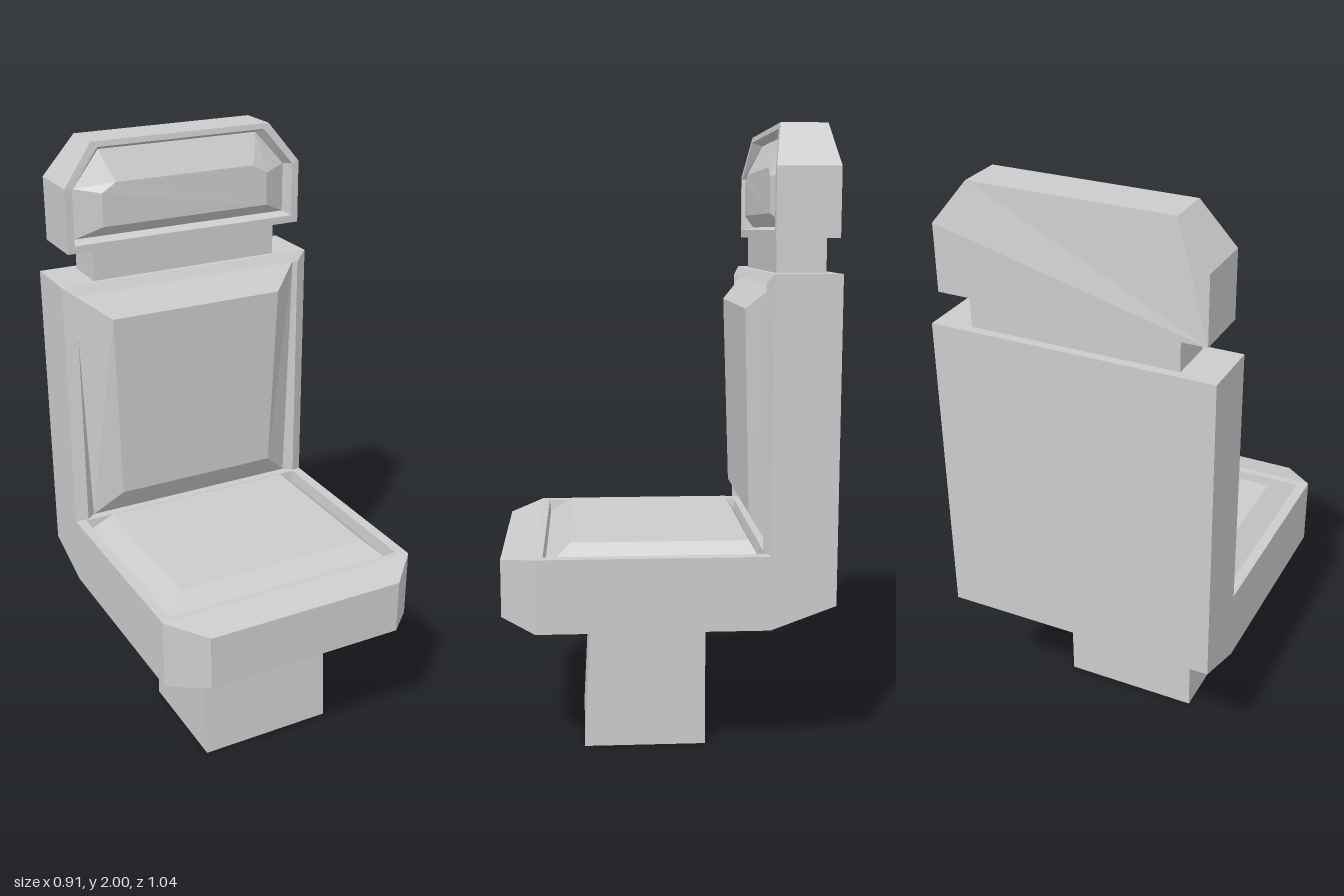
import * as THREE from 'three';

const material = new THREE.MeshStandardMaterial({ color: 0xcccccc, flatShading: true, side: THREE.DoubleSide });

// Joins equal-length rings of points; `open(segment, side)` leaves a face out.
// The first ring runs counter-clockwise seen from outside its cap.
function loft(name, rings, { start = true, end = true, open = () => false } = {}) {
  const out = [];
  const tri = (a, b, c) => {
    const u = new THREE.Vector3(...b).sub(new THREE.Vector3(...a));
    const v = new THREE.Vector3(...c).sub(new THREE.Vector3(...a));
    if (u.cross(v).length() > 1e-7) out.push(...a, ...b, ...c);
  };
  const cap = (ring) => {
    for (let i = 1; i < ring.length - 1; i++) tri(ring[0], ring[i], ring[i + 1]);
  };
  if (start) cap(rings[0]);
  for (let k = 0; k < rings.length - 1; k++) {
    const a = rings[k], b = rings[k + 1], n = a.length;
    for (let i = 0; i < n; i++) {
      if (open(k, i)) continue;
      const j = (i + 1) % n;
      tri(a[i], b[i], b[j]);
      tri(a[i], b[j], a[j]);
    }
  }
  if (end) cap([...rings[rings.length - 1]].reverse());
  const geometry = new THREE.BufferGeometry();
  geometry.setAttribute('position', new THREE.Float32BufferAttribute(out, 3));
  geometry.computeVertexNormals();
  const mesh = new THREE.Mesh(geometry, material);
  mesh.name = name;
  return mesh;
}

// Four points, mirrored in x: width, y and z of the first edge, then of the second.
const quad = (w1, y1, z1, w2, y2, z2) => [[w1, y1, z1], [-w1, y1, z1], [-w2, y2, z2], [w2, y2, z2]];

// Six-sided headrest outline with cut upper corners.
const hex = (w, wTop, y0, y1, y2, z, zTop) => [
  [w, y0, z], [w, y1, z], [wTop, y2, zTop], [-wTop, y2, zTop], [-w, y1, z], [-w, y0, z],
];

export function createModel() {
  const model = new THREE.Group();
  model.name = 'chair';

  // Pedestal, its front leaning slightly
  model.add(loft('pedestal', [
    quad(0.235, 0, 0.262, 0.235, 0, -0.135),
    quad(0.235, 0.47, 0.238, 0.235, 0.47, -0.135),
  ]));

  // L-shaped frame from seat front to back top, open where the panels sit
  model.add(loft('frame', [
    quad(0.345, 0.665, 0.52, 0.345, 0.48, 0.52),
    quad(0.455, 0.69, 0.41, 0.455, 0.455, 0.41),
    quad(0.455, 0.69, -0.315, 0.455, 0.455, -0.315),
    quad(0.455, 0.69, -0.315, 0.455, 0.53, -0.52),
    quad(0.455, 1.55, -0.315, 0.455, 1.55, -0.52),
  ], { open: (k, i) => i === 0 && (k === 1 || k === 3) }));

  // Cushions with bevelled edges, each sunk into a recessed rim
  const seatBase = quad(0.415, 0.65, -0.3, 0.415, 0.65, 0.38);
  model.add(loft('seatCushion', [
    quad(0.34, 0.715, -0.26, 0.34, 0.715, 0.3),
    seatBase,
  ], { end: false }));
  model.add(loft('seatRim', [
    seatBase,
    quad(0.42, 0.69, -0.305, 0.42, 0.69, 0.385),
    quad(0.455, 0.69, -0.315, 0.455, 0.69, 0.41),
  ], { start: false, end: false }));

  const backBase = quad(0.41, 1.515, -0.32, 0.385, 0.7, -0.32);
  model.add(loft('backCushion', [
    quad(0.31, 1.44, -0.245, 0.29, 0.79, -0.265),
    backBase,
  ], { end: false }));
  model.add(loft('backRim', [
    backBase,
    quad(0.415, 1.52, -0.295, 0.415, 0.7, -0.295),
    quad(0.455, 1.55, -0.315, 0.455, 0.69, -0.315),
  ], { start: false, end: false }));

  // Neck between back and headrest
  const neck = new THREE.Mesh(new THREE.BoxGeometry(0.67, 0.13, 0.155), material);
  neck.name = 'neck';
  neck.position.set(0, 1.603, -0.413);
  model.add(neck);

  // Headrest shell with a recessed cushion in front
  const padBase = hex(0.385, 0.285, 1.69, 1.855, 1.968, -0.36, -0.375);
  model.add(loft('headrestCushion', [
    hex(0.3, 0.25, 1.73, 1.84, 1.87, -0.318, -0.32),
    padBase,
  ], { end: false }));
  model.add(loft('headrestShell', [
    padBase,
    hex(0.4, 0.3, 1.68, 1.86, 1.982, -0.32, -0.342),
    hex(0.425, 0.32, 1.655, 1.867, 2, -0.32, -0.345),
    hex(0.425, 0.32, 1.655, 1.867, 2, -0.515, -0.49),
  ], { start: false }));

  return model;
}
